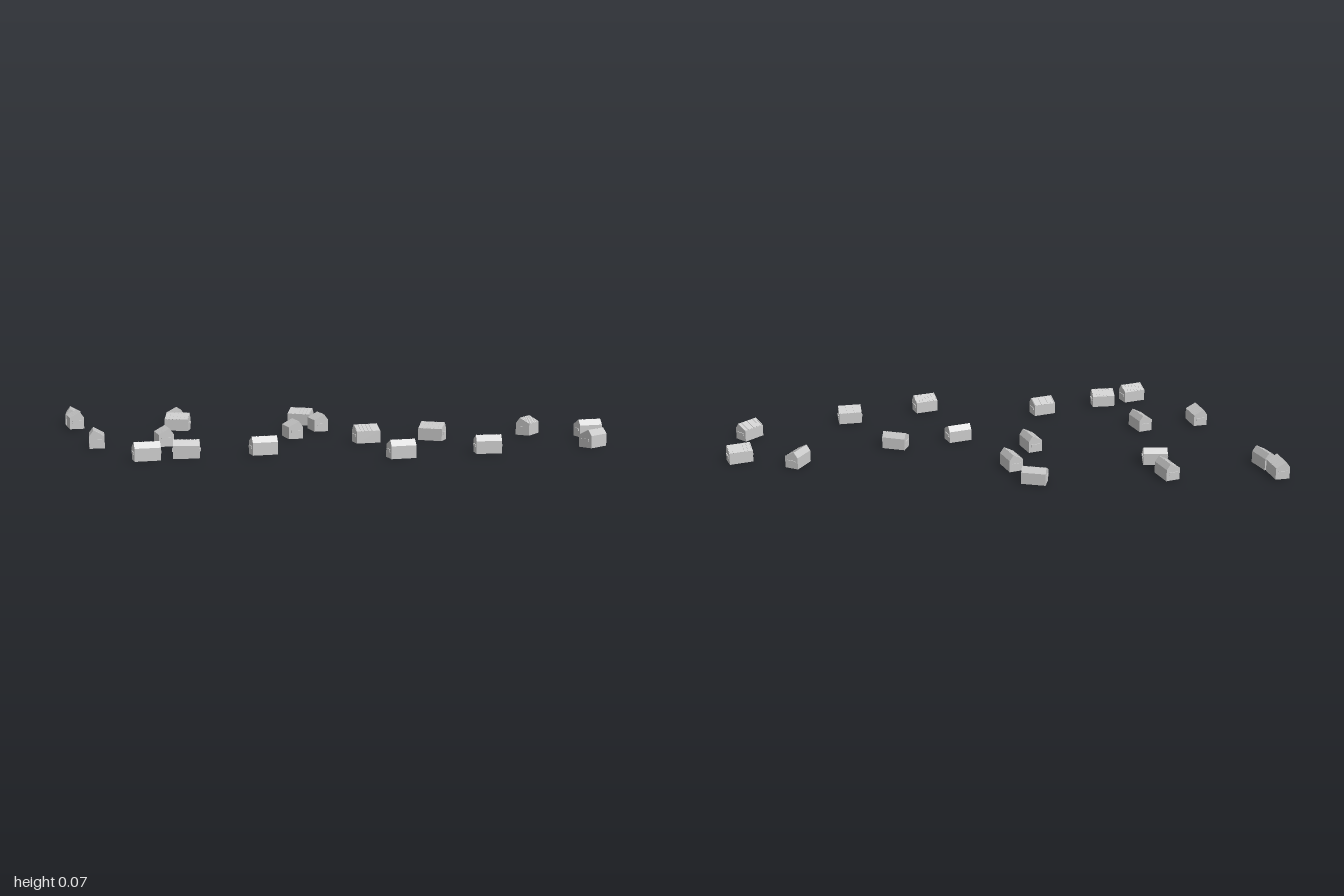
import * as THREE from 'three';

const LENGTH = 0.096, HALF = 0.029, EAVE = 0.047, TOP = 0.069, RIDGE = 0.013;
const material = new THREE.MeshStandardMaterial({ color: 0xcccccc, flatShading: true });

// x, z, heading in degrees (steep side faces +z at heading 0)
const PLACES = [
  [-0.963, -0.604, -100], [-0.968, -0.5, 90], [-0.556, -0.447, 90],
  [-0.578, -0.306, 157], [-0.053, -0.302, 145], [-0.031, -0.128, 90],
  [-0.185, 0.03, 90], [-0.963, 0.032, -98], [-0.71, 0.065, 90],
  [0.053, 0.237, 180], [0.32, 0.257, 142], [0.742, 0.23, 222],
  [0.947, 0.357, 0], [-0.84, 0.39, 0], [-0.69, 0.381, -15],
  [-0.402, 0.39, 0], [0.057, 0.619, 0], [0.402, 0.613, -11],
  [0.844, 0.599, 27],
];

// Extrudes a shape drawn in (z, y) along x, centred on x = 0
function extrudeAlongX(shape, depth) {
  const geo = new THREE.ExtrudeGeometry(shape, { depth, bevelEnabled: false });
  return geo.translate(0, 0, -depth / 2).rotateY(-Math.PI / 2);
}

function part(name, geo) {
  const mesh = new THREE.Mesh(geo, material);
  mesh.name = name;
  return mesh;
}

// Container body: upright walls, steep panel on +z and long lid on -z
const bodyGeo = extrudeAlongX(new THREE.Shape([
  [-HALF, 0], [HALF, 0], [HALF, EAVE], [RIDGE, TOP], [-HALF, EAVE],
].map(([z, y]) => new THREE.Vector2(z, y))), LENGTH);

// Rib lying on the long lid
const run = RIDGE + HALF, rise = TOP - EAVE;
const ribGeo = new THREE.BoxGeometry(0.003, 0.002, Math.hypot(run, rise))
  .rotateX(-Math.atan2(rise, run))
  .translate(0, (EAVE + TOP) / 2, (RIDGE - HALF) / 2);

// Hollow lifting sleeve for the end walls, open along z
function sleeveGeometry() {
  const w = 0.004, h = 0.01, t = 0.001, depth = 0.036;
  const rect = (p, x, y) => p.moveTo(-x, -y).lineTo(x, -y).lineTo(x, y).lineTo(-x, y).closePath();
  const shape = rect(new THREE.Shape(), w / 2, h / 2);
  shape.holes.push(rect(new THREE.Path(), w / 2 - t, h / 2 - t));
  return new THREE.ExtrudeGeometry(shape, { depth, bevelEnabled: false }).translate(0, 0, -depth / 2);
}
const sleeveGeo = sleeveGeometry();

function createContainer() {
  const group = new THREE.Group();
  group.name = 'container';
  group.add(part('body', bodyGeo));
  for (let i = 0; i < 7; i++) {
    const rib = part('lidRib', ribGeo);
    rib.position.x = (i / 6 - 0.5) * (LENGTH - 0.006);
    group.add(rib);
  }
  for (const side of [-1, 1]) {
    const sleeve = part('liftingSleeve', sleeveGeo);
    sleeve.position.set(side * (LENGTH / 2 + 0.0015), 0.029, 0);
    group.add(sleeve);
  }
  return group;
}

export function createModel() {
  const model = new THREE.Group();
  model.name = 'containers';
  for (const [x, z, heading] of PLACES) {
    const container = createContainer();
    container.position.set(x, 0, z);
    container.rotation.y = THREE.MathUtils.degToRad(heading);
    model.add(container);
  }
  return model;
}
